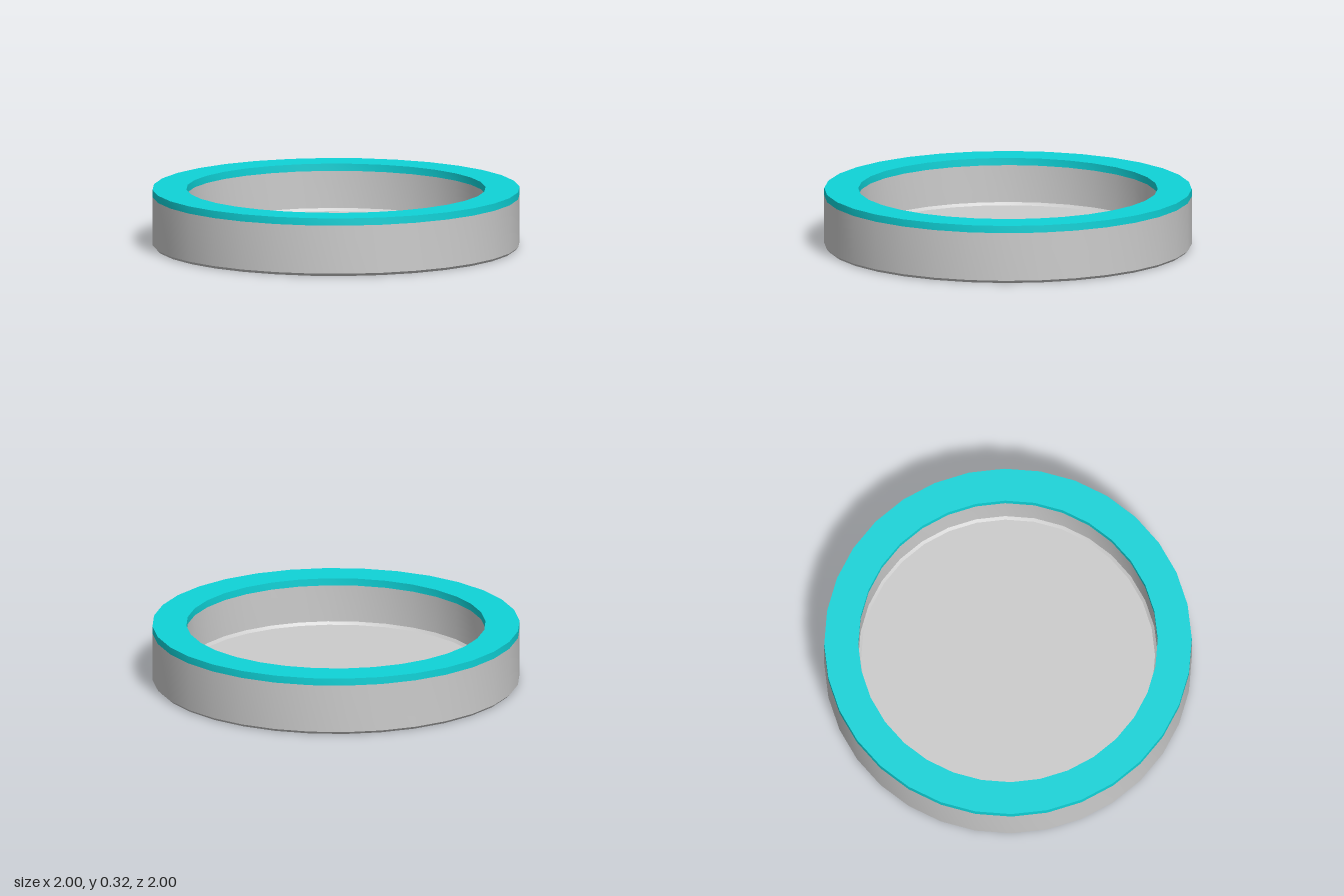
import * as THREE from 'three';
import { toCreasedNormals } from 'three/addons/utils/BufferGeometryUtils.js';

const SIDES = 32;

// Revolve an [radius, height] profile, keeping the edges between bands sharp
function turned(name, profile, color) {
  const points = profile.map(([r, y]) => new THREE.Vector2(r, y));
  const geometry = toCreasedNormals(new THREE.LatheGeometry(points, SIDES), 0.5);
  const mesh = new THREE.Mesh(geometry, new THREE.MeshStandardMaterial({ color }));
  mesh.name = name;
  return mesh;
}

export function createModel() {
  const group = new THREE.Group();
  group.name = 'shallowDish';

  // Underside, chamfered foot and outer wall
  group.add(turned('outerShell', [[0, 0], [0.985, 0], [1, 0.015], [1, 0.28]], 0xcccccc));

  // Inner wall, chamfer and floor
  group.add(turned('innerBowl', [[0.815, 0.28], [0.815, 0.075], [0.8, 0.06], [0, 0.06]], 0xcccccc));

  // Coloured rim band capping the wall
  group.add(turned('rim', [[1, 0.28], [1, 0.32], [0.815, 0.32], [0.815, 0.28]], 0x0fd3d8));

  return group;
}
